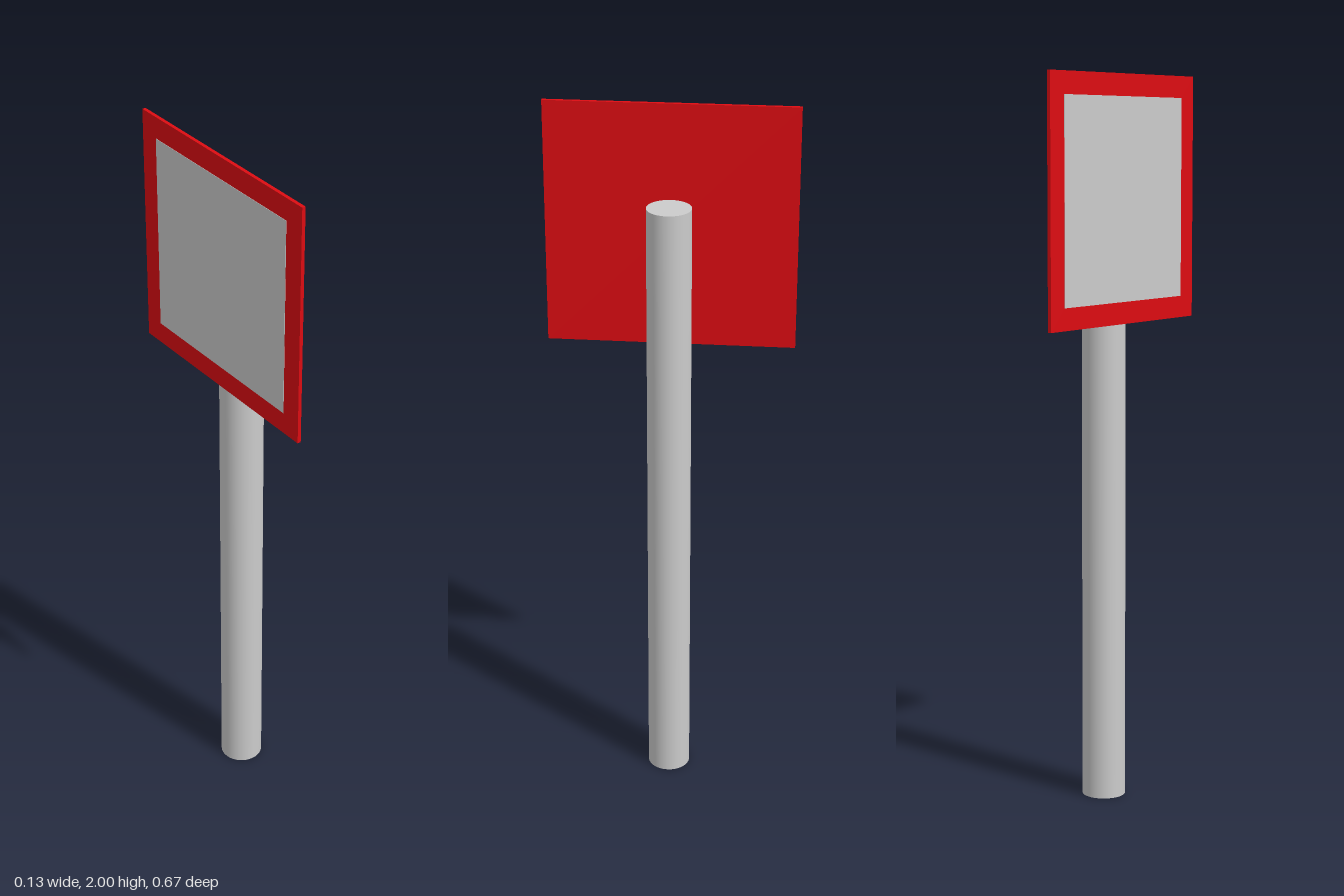
import * as THREE from 'three';

export function createModel() {
  const model = new THREE.Group();
  const grey = new THREE.MeshStandardMaterial({ color: 0xcccccc });
  const red = new THREE.MeshStandardMaterial({ color: 0xdd0c12 });

  const add = (name, geometry, material, x, y) => {
    const mesh = new THREE.Mesh(geometry, material);
    mesh.name = name;
    mesh.position.set(x, y, 0);
    model.add(mesh);
  };

  // Round post standing on the ground
  add('post', new THREE.CylinderGeometry(0.06, 0.06, 1.74, 48), grey, 0.005, 0.87);

  // Thin square board fixed to the side of the post
  add('signBoard', new THREE.BoxGeometry(0.01, 0.67, 0.67), red, -0.06, 1.665);

  // Blank face plate, leaving a red border around it
  add('signFace', new THREE.BoxGeometry(0.002, 0.55, 0.55), grey, -0.065, 1.665);

  return model;
}
